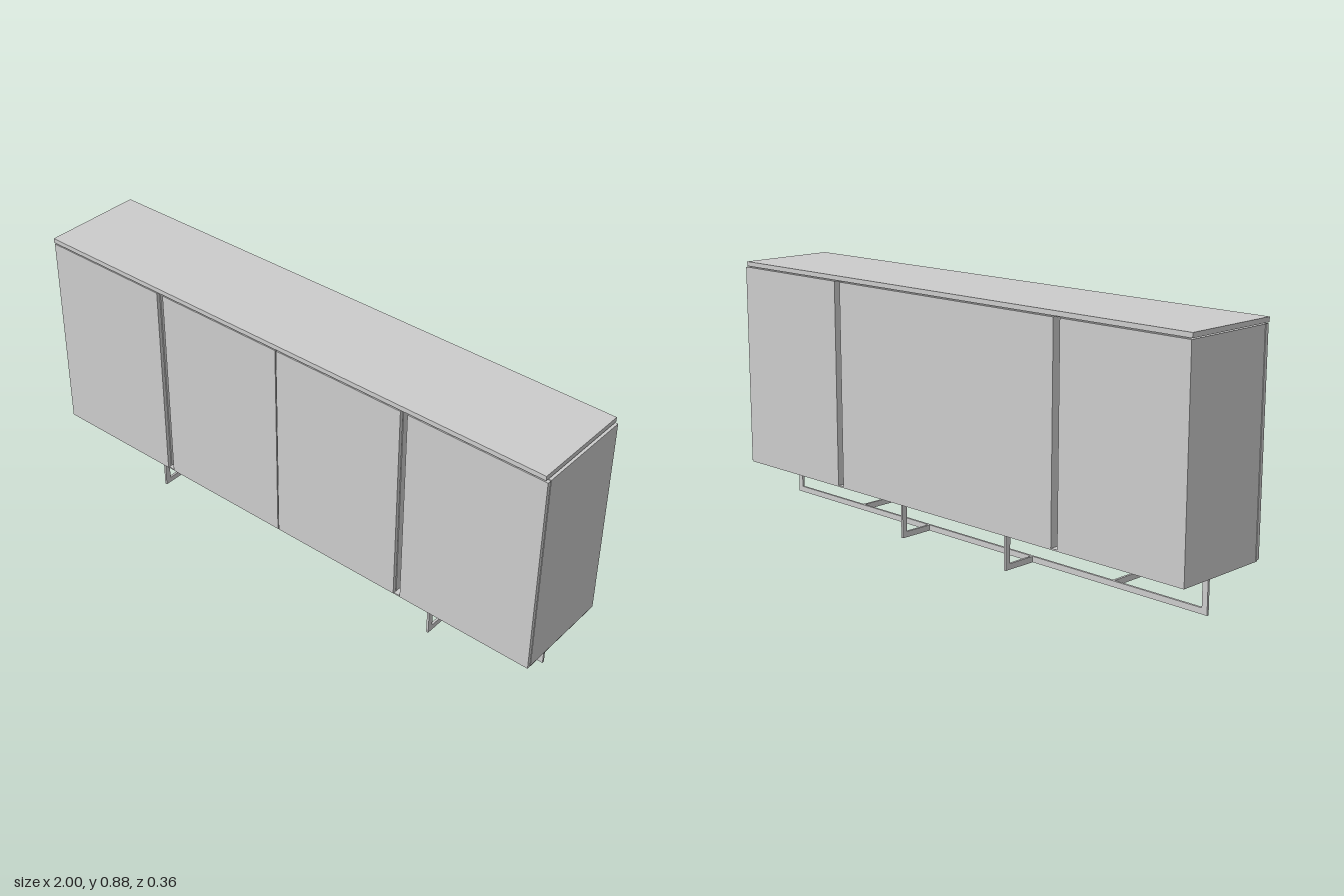
import * as THREE from 'three';

const material = new THREE.MeshStandardMaterial({ color: 0xcccccc });

// Box given by its limits on each axis
function block(parent, name, [x0, x1], [y0, y1], [z0, z1]) {
  const mesh = new THREE.Mesh(new THREE.BoxGeometry(x1 - x0, y1 - y0, z1 - z0), material);
  mesh.position.set((x0 + x1) / 2, (y0 + y1) / 2, (z0 + z1) / 2);
  mesh.name = name;
  parent.add(mesh);
  return mesh;
}

// Flat bar bent along a path in the XY plane, thin in z
function flatBar(name, outline, thickness) {
  const shape = new THREE.Shape(outline.map(([x, y]) => new THREE.Vector2(x, y)));
  const geometry = new THREE.ExtrudeGeometry(shape, { depth: thickness, bevelEnabled: false });
  geometry.translate(0, 0, -thickness / 2);
  const mesh = new THREE.Mesh(geometry, material);
  mesh.name = name;
  return mesh;
}

export function createModel() {
  const model = new THREE.Group();
  model.name = 'sideboard';

  const bodyY = [0.142, 0.857];
  const carcassZ = [-0.18, 0.164];
  const doorZ = [0.167, 0.18];

  // Cabinet: three carcasses parted by deep vertical grooves
  const cabinet = new THREE.Group();
  cabinet.name = 'cabinet';
  model.add(cabinet);
  block(cabinet, 'topPanel', [-1, 0.993], [0.861, 0.877], [-0.18, 0.18]);
  block(cabinet, 'topSpacer', [-0.985, 0.985], [0.857, 0.861], [-0.17, 0.16]);
  block(cabinet, 'bottomPanel', [-0.995, 0.998], [0.137, 0.142], [-0.178, 0.175]);
  block(cabinet, 'leftCarcass', [0.512, 1], bodyY, carcassZ);
  block(cabinet, 'rightCarcass', [-0.997, -0.512], bodyY, carcassZ);
  block(cabinet, 'centreCarcass', [-0.486, 0.486], bodyY, carcassZ);
  for (const side of [-1, 1]) {
    const x = side * 0.499;
    block(cabinet, 'grooveBack', [x - 0.015, x + 0.015], bodyY, [-0.12, 0.12]);
  }

  // Four doors, standing just proud of the carcasses
  const doors = [[-0.997, -0.512], [-0.486, -0.002], [0.002, 0.486], [0.512, 1]];
  for (const [x0, x1] of doors) {
    block(cabinet, 'door', [x0, x1], bodyY, doorZ);
    block(cabinet, 'doorMount', [x0 + 0.006, x1 - 0.006], [0.148, 0.851], [0.16, 0.17]);
  }

  // Base: a long U-shaped flat bar along the middle
  const base = new THREE.Group();
  base.name = 'base';
  model.add(base);
  const legTop = 0.138, bar = 0.02, thin = 0.008;
  base.add(flatBar('centreFrame', [
    [-0.95, 0], [0.95, 0], [0.95, legTop], [0.95 - bar, legTop],
    [0.95 - bar, bar], [-0.95 + bar, bar], [-0.95 + bar, legTop], [-0.95, legTop],
  ], thin));

  // L-shaped outrigger legs: the outer pair reach forward, the inner pair backward
  const legOutline = [[0, 0], [0.129, 0], [0.129, legTop], [0.129 - bar, legTop], [0.129 - bar, bar], [0, bar]];
  for (const [x, turn] of [[-0.585, -1], [0.59, -1], [-0.243, 1], [0.243, 1]]) {
    const leg = flatBar(turn < 0 ? 'frontLeg' : 'backLeg', legOutline, thin);
    leg.rotation.y = turn * Math.PI / 2;
    leg.position.x = x;
    base.add(leg);
  }
  return model;
}
